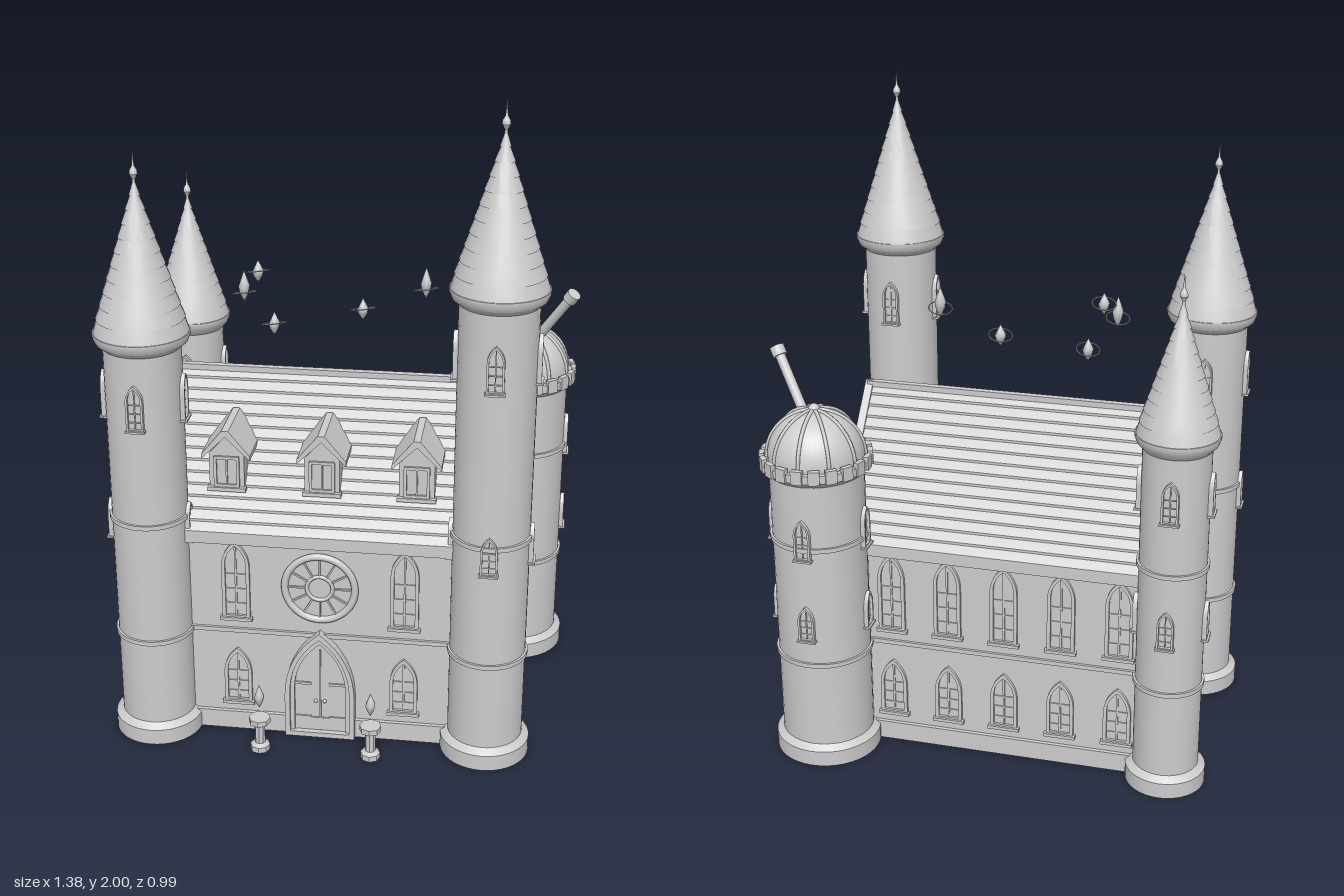
import * as THREE from 'three';
import { toCreasedNormals } from 'three/addons/utils/BufferGeometryUtils.js';

const stone = new THREE.MeshStandardMaterial({ color: 0xcccccc });
stone.name = 'pale stone';
const CX = -0.045, CZ = 0.04; // centre of the hall

function add(parent, name, geo, x = 0, y = 0, z = 0) {
  const m = new THREE.Mesh(geo, stone);
  m.name = name;
  m.position.set(x, y, z);
  parent.add(m);
  return m;
}
function group(parent, name, x = 0, y = 0, z = 0, ry = 0) {
  const g = new THREE.Group();
  g.name = name;
  g.position.set(x, y, z);
  g.rotation.y = ry;
  parent.add(g);
  return g;
}
const box = (w, h, d) => new THREE.BoxGeometry(w, h, d);
const lathe = (pts, seg = 32) =>
  toCreasedNormals(new THREE.LatheGeometry(pts.map(p => new THREE.Vector2(p[0], p[1])), seg), 0.5);
const extrude = (shape, depth) =>
  new THREE.ExtrudeGeometry(shape, { depth, bevelEnabled: false, curveSegments: 8 });

// Prism along x from an outline of [z, y] points
function prismX(pts, x0, x1) {
  const g = extrude(new THREE.Shape(pts.map(p => new THREE.Vector2(p[0], p[1]))), x1 - x0);
  return g.rotateY(-Math.PI / 2).translate(x1, 0, 0);
}

// Pointed arch outline standing on y = y0
function arch(w, h, y0 = 0, Type = THREE.Shape) {
  const s = new Type(), r = w / 2, spring = h - w * 1.05;
  s.moveTo(-r, y0);
  s.lineTo(r, y0);
  s.lineTo(r, spring);
  s.quadraticCurveTo(r, h - w * 0.4, 0, h);
  s.quadraticCurveTo(-r, h - w * 0.4, -r, spring);
  s.closePath();
  return s;
}
function archFrame(w, h, t, depth) {
  const s = arch(w, h);
  s.holes.push(arch(w - 2 * t, h - t * 1.3, t, THREE.Path));
  return extrude(s, depth);
}

// Lancet window facing +z with frame, pane, bars and sill
function lancet(parent, w, h, x, y, z, ry = 0, proud = 0.01) {
  const g = group(parent, 'lancetWindow', x, y, z, ry);
  const t = w * 0.13;
  add(g, 'windowFrame', archFrame(w, h, t, proud + 0.012), 0, 0, -0.012);
  add(g, 'windowPane', extrude(arch(w - t, h - t, t / 2), 0.008), 0, 0, -0.006);
  add(g, 'mullion', box(w * 0.07, h * 0.9, 0.008), 0, h * 0.48, 0.002);
  for (let i = 1; i < 4; i++) add(g, 'glazingBar', box(w * 0.85, w * 0.05, 0.007), 0, h * 0.19 * i, 0.002);
  add(g, 'sill', box(w * 1.15, w * 0.12, proud + 0.016), 0, 0, 0.004);
}

// Wall, gables, plinth, string courses and stepped roof
function buildHall(root) {
  const g = group(root, 'hall');
  const x0 = -0.56, x1 = 0.47, d = 0.31, ridge = 1.06, slope = 1.16, eave = 0.70;
  add(g, 'walls', prismX([[CZ - d, 0], [CZ + d, 0], [CZ + d, eave], [CZ, ridge], [CZ - d, eave]], x0, x1));
  add(g, 'plinth', box(1.05, 0.06, 0.645), CX, 0.03, CZ);
  for (const y of [0.347, 0.69]) add(g, 'stringCourse', box(1.042, 0.014, 0.637), CX, y, CZ);

  const rows = 14, half = 0.34, right = [];
  for (let i = 0; i < rows; i++) {
    const a = half * (1 - i / rows), b = half * (1 - (i + 1) / rows);
    right.push([a, 1.076 - a * slope + 0.008], [b, 1.076 - b * slope]);
  }
  const outer = right.concat(right.slice(0, -1).reverse().map(p => [-p[0], p[1]]));
  const bottom = 1.045 - half * slope;
  const profile = [[half, bottom], ...outer, [-half, bottom], [0, 1.045]].map(p => [p[0] + CZ, p[1]]);
  add(g, 'tiledRoof', prismX(profile, -0.57, 0.475));
  add(g, 'ridgeCap', box(1.04, 0.018, 0.022), CX, 1.079, CZ);
  const e = 1.09 - 0.34 * slope;
  const cope = [[0.34, e - 0.035], [0.34, e], [0, 1.09], [-0.34, e], [-0.34, e - 0.035], [0, 1.055]]
    .map(p => [p[0] + CZ, p[1]]);
  add(g, 'gableCoping', prismX(cope, -0.577, -0.552));
  add(g, 'gableCoping', prismX(cope, 0.457, 0.482));

  for (const [y, h] of [[0.39, 0.26], [0.095, 0.19]]) {
    for (const x of [-0.3, 0.21]) lancet(g, 0.085, h, x, y, CZ + d);
    for (let i = -2; i <= 2; i++) lancet(g, 0.085, h, CX + i * 0.178, y, CZ - d, Math.PI);
    for (let i = -1; i <= 1; i++) {
      lancet(g, 0.085, h, x1, y, CZ + i * 0.19, Math.PI / 2);
      lancet(g, 0.085, h, x0, y, CZ + i * 0.19, -Math.PI / 2);
    }
  }
}

// Pointed doorway and the round window above
function buildEntrance(root) {
  const door = group(root, 'entrance', CX, 0, 0.35);
  add(door, 'outerArch', archFrame(0.215, 0.365, 0.016, 0.03));
  add(door, 'innerArch', archFrame(0.185, 0.342, 0.014, 0.02));
  add(door, 'doorLeaves', extrude(arch(0.17, 0.33), 0.008));
  add(door, 'doorSeam', box(0.005, 0.3, 0.006), 0, 0.15, 0.01);
  for (const s of [-1, 1]) {
    for (const y of [0.06, 0.18]) add(door, 'hinge', box(0.05, 0.008, 0.006), s * 0.052, y, 0.01);
    add(door, 'doorKnob', new THREE.SphereGeometry(0.006, 8, 6), s * 0.014, 0.12, 0.012);
  }
  add(door, 'doorstep', box(0.21, 0.015, 0.03), 0, 0.0075, 0.015);

  const rose = group(root, 'roseWindow', CX, 0.51, 0.35);
  add(rose, 'roseOuterRing', new THREE.TorusGeometry(0.106, 0.011, 8, 40), 0, 0, 0.006);
  add(rose, 'roseInnerRing', new THREE.TorusGeometry(0.039, 0.006, 8, 24), 0, 0, 0.006);
  add(rose, 'rosePane', new THREE.CircleGeometry(0.105, 40), 0, 0, 0.003);
  for (let i = 0; i < 12; i++) {
    const a = i * Math.PI / 6;
    const spoke = add(rose, 'roseSpoke', box(0.062, 0.005, 0.008), Math.cos(a) * 0.071, Math.sin(a) * 0.071, 0.005);
    spoke.rotation.z = a;
  }
}

// Gabled dormer seated on the front slope
function buildDormer(root, x) {
  const g = group(root, 'dormer', x, 0, 0);
  add(g, 'dormerBody', box(0.105, 0.125, 0.2), 0, 0.85, 0.195);
  const gable = new THREE.Shape([[-0.053, 0.905], [0.053, 0.905], [0, 0.965]].map(p => new THREE.Vector2(...p)));
  add(g, 'dormerGable', extrude(gable, 0.15), 0, 0, 0.145);
  const roof = new THREE.Shape([[-0.073, 0.893], [0, 0.966], [0.073, 0.893], [0.073, 0.908], [0.01, 0.985], [-0.01, 0.985], [-0.073, 0.908]]
    .map(p => new THREE.Vector2(...p)));
  add(g, 'dormerRoof', extrude(roof, 0.18), 0, 0, 0.13);
  for (const s of [-1, 1]) {
    add(g, 'dormerJamb', box(0.009, 0.09, 0.01), s * 0.034, 0.85, 0.297);
    add(g, 'dormerRail', box(0.075, 0.009, 0.01), 0, 0.85 + s * 0.045, 0.297);
  }
  add(g, 'dormerMullion', box(0.005, 0.09, 0.006), 0, 0.85, 0.297);
  add(g, 'dormerSill', box(0.115, 0.012, 0.02), 0, 0.795, 0.298);
}

// Round shaft with plinth, bands and four-way windows in each row
function towerShaft(g, r, base, top, rows) {
  add(g, 'shaft', lathe([[0, 0], [base, 0], [base, 0.05], [r, 0.066], [r, top], [0, top]], 40));
  for (const y of [0.345, 0.732]) add(g, 'towerBand', new THREE.CylinderGeometry(r + 0.007, r + 0.007, 0.014, 40), 0, y, 0);
  for (const [y, h, skipFront] of rows) {
    for (let i = skipFront ? 1 : 0; i < 4; i++) {
      const a = i * Math.PI / 2;
      lancet(g, 0.05, h, Math.sin(a) * (r - 0.001), y, Math.cos(a) * (r - 0.001), a, 0.012);
    }
  }
}

// Tower with a collar, tiered cone and finial
function spireTower(root, name, x, z, r, base, top, roofR, roofH, rows) {
  const g = group(root, name, x, 0, z);
  towerShaft(g, r, base, top, rows);
  add(g, 'collar', lathe([[r, top - 0.045], [roofR - 0.004, top - 0.028], [roofR + 0.003, top - 0.01], [roofR + 0.003, top], [0, top]], 40));
  const cone = [[0, top], [roofR, top]], tiers = 11;
  for (let i = 0; i < tiers; i++) {
    const k = (i + 1) / tiers;
    if (i) cone.push([roofR * (1 - i / tiers) + 0.003, top + roofH * i / tiers]);
    cone.push([Math.max(roofR * (1 - k), 0.003), top + roofH * k]);
  }
  add(g, 'spire', lathe(cone, 32));
  const y = top + roofH;
  add(g, 'finial', lathe([[0.005, y - 0.015], [0.004, y + 0.005], [0.012, y + 0.02], [0.011, y + 0.03], [0.004, y + 0.042], [0.003, y + 0.05], [0, y + 0.09]], 12));
}

// Domed tower with ribs, battlements and a telescope
function domeTower(root) {
  const g = group(root, 'observatoryTower', 0.515, 0, -0.325);
  towerShaft(g, 0.142, 0.163, 0.98, [[0.70, 0.13], [0.43, 0.115]]);
  add(g, 'parapet', lathe([[0.142, 0.935], [0.163, 0.955], [0.163, 0.98], [0, 0.98]], 40));
  for (let i = 0; i < 20; i++) {
    const a = i * Math.PI / 10;
    add(g, 'merlon', box(0.034, 0.042, 0.016), Math.sin(a) * 0.16, 0.974, Math.cos(a) * 0.16).rotation.y = a;
  }
  const dome = add(g, 'dome', new THREE.SphereGeometry(0.145, 40, 14, 0, Math.PI * 2, 0, Math.PI / 2), 0, 0.98, 0);
  dome.scale.y = 1.0;
  for (let i = 0; i < 10; i++) {
    add(g, 'domeRib', new THREE.TorusGeometry(0.146, 0.006, 6, 14, Math.PI / 2), 0, 0.98, 0).rotation.y = i * Math.PI / 5 + 0.31;
  }
  add(g, 'domeCap', new THREE.SphereGeometry(0.018, 16, 10), 0, 1.125, 0);
  const from = new THREE.Vector3(0.025, 1.07, 0.015), to = new THREE.Vector3(0.148, 1.27, 0.1);
  const scope = group(g, 'telescope', from.x, from.y, from.z);
  const len = from.distanceTo(to);
  scope.quaternion.setFromUnitVectors(new THREE.Vector3(0, 1, 0), to.sub(from).normalize());
  add(scope, 'telescopeTube', new THREE.CylinderGeometry(0.015, 0.015, len, 16), 0, len / 2, 0);
  add(scope, 'telescopeHood', new THREE.CylinderGeometry(0.022, 0.022, 0.03, 16), 0, len - 0.012, 0);
}

const spindle = (r, h) => new THREE.LatheGeometry(
  [[0, -h / 2], [r * 0.8, -h * 0.2], [r, 0], [r * 0.6, h * 0.2], [0, h / 2]].map(p => new THREE.Vector2(...p)), 6);

export function createModel() {
  const root = new THREE.Group();
  root.name = 'castle';
  buildHall(root);
  buildEntrance(root);
  for (const x of [-0.33, CX, 0.235]) buildDormer(root, x);

  spireTower(root, 'frontRightTower', -0.553, 0.35, 0.113, 0.135, 1.305, 0.137, 0.435, [[1.04, 0.14], [0.65, 0.12, true]]);
  spireTower(root, 'frontLeftTower', 0.459, 0.35, 0.113, 0.135, 1.48, 0.137, 0.43, [[1.21, 0.14], [0.65, 0.12]]);
  spireTower(root, 'backRightTower', -0.553, -0.27, 0.1, 0.122, 1.14, 0.12, 0.38, [[0.9, 0.13], [0.5, 0.12]]);
  domeTower(root);

  // Pedestals with hovering flames beside the door
  for (const x of [-0.216, 0.122]) {
    const g = group(root, 'torch', x, 0, 0.46);
    add(g, 'pedestal', lathe([[0, 0], [0.03, 0], [0.03, 0.018], [0.016, 0.026], [0.016, 0.085], [0.033, 0.095], [0.033, 0.112], [0, 0.112]], 8));
    add(g, 'flame', spindle(0.016, 0.08), 0, 0.185, 0);
  }

  // Floating lights with halo rings
  for (const [x, y, z, h] of [[-0.305, 1.36, 0.09, 0.1], [-0.27, 1.395, 0.05, 0.07], [-0.22, 1.24, 0.07, 0.075],
    [0.04, 1.28, 0.02, 0.07], [0.228, 1.37, 0.02, 0.1]]) {
    const g = group(root, 'floatingLight', x, y, z);
    add(g, 'lightCrystal', spindle(0.018, h));
    add(g, 'haloRing', new THREE.TorusGeometry(0.036, 0.002, 6, 24), 0, h > 0.09 ? -0.02 : 0, 0).rotation.set(Math.PI / 2 - 0.25, 0.15, 0);
  }
  return root;
}
